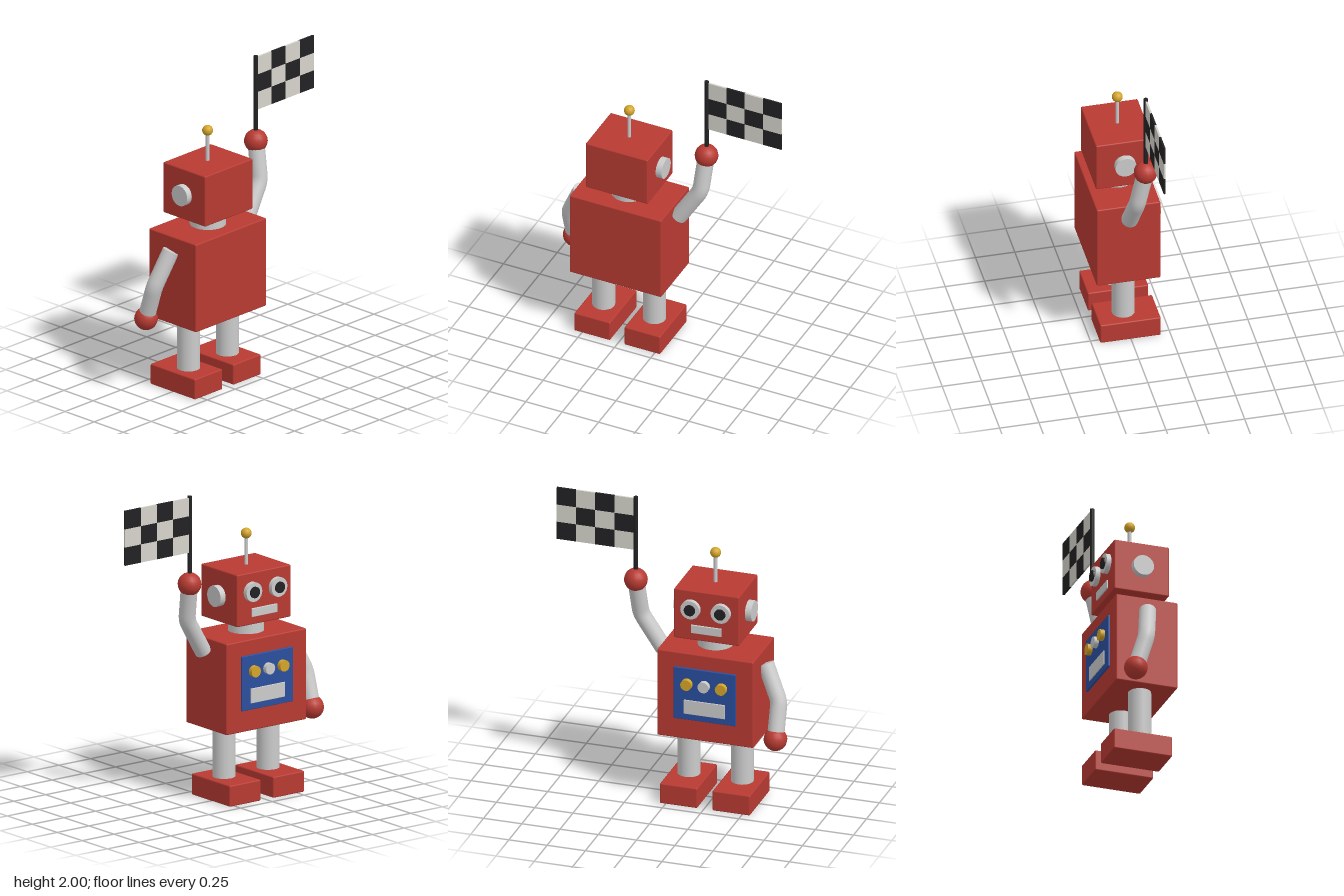
import * as THREE from 'three';
import { RoundedBoxGeometry } from 'three/addons/geometries/RoundedBoxGeometry.js';

const mat = (color) => new THREE.MeshStandardMaterial({ color });
const red = mat(0xb83a32), grey = mat(0xcccccc), gold = mat(0xd4a52a);
const blue = mat(0x2a4f9e), black = mat(0x222224), white = mat(0xd6d4cb);

const CX = -0.257; // centre line of the robot's body
const CZ = 0.02;

export function createModel() {
  const robot = new THREE.Group();
  robot.name = 'robot';

  const add = (name, geometry, material, x, y, z, parent = robot) => {
    const mesh = new THREE.Mesh(geometry, material);
    mesh.name = name;
    mesh.position.set(x, y, z);
    parent.add(mesh);
    return mesh;
  };
  const block = (name, w, h, d, material, x, y, z, bevel = 0.008) =>
    add(name, new RoundedBoxGeometry(w, h, d, 2, bevel), material, x, y, z);
  const rod = (name, r, h, material, x, y, z, axis = 'y') => {
    const g = new THREE.CylinderGeometry(r, r, h, 24);
    if (axis === 'x') g.rotateZ(Math.PI / 2);
    if (axis === 'z') g.rotateX(Math.PI / 2);
    return add(name, g, material, x, y, z);
  };
  const ball = (name, r, material, x, y, z) =>
    add(name, new THREE.SphereGeometry(r, 16, 12), material, x, y, z);

  // Body, neck and head
  block('torso', 0.63, 0.585, 0.405, red, CX, 0.753, CZ);
  rod('neck', 0.113, 0.08, grey, CX, 1.076, CZ + 0.003);
  block('head', 0.426, 0.335, 0.362, red, CX, 1.298, CZ + 0.003);

  // Antenna
  rod('antennaRod', 0.012, 0.2, grey, CX, 1.555, CZ);
  ball('antennaBall', 0.034, gold, CX, 1.665, CZ);

  // Paired parts
  for (const [side, s] of [['left', 1], ['right', -1]]) {
    rod(side + 'Ear', 0.067, 0.06, grey, CX + s * 0.224, 1.3, CZ + 0.002, 'x');
    rod(side + 'Eye', 0.062, 0.05, grey, CX + s * 0.099, 1.345, -0.163, 'z');
    rod(side + 'Pupil', 0.036, 0.05, black, CX + s * 0.099, 1.345, -0.174, 'z');
    rod(side + 'Leg', 0.072, 0.36, grey, CX + s * 0.174, 0.3, CZ + 0.003);
    block(side + 'Foot', 0.246, 0.135, 0.385, red, CX + s * 0.172, 0.0675, 0.003);
  }
  block('mouth', 0.2, 0.055, 0.03, grey, CX, 1.208, -0.152, 0.003);

  // Chest panel with three knobs and a plate
  block('chestPanel', 0.405, 0.35, 0.03, blue, CX, 0.773, -0.18, 0.004);
  for (const i of [-1, 0, 1]) {
    rod('chestKnob', 0.036, 0.05, i ? gold : grey, CX + i * 0.113, 0.845, -0.2, 'z');
  }
  block('chestPlate', 0.27, 0.095, 0.03, grey, CX, 0.687, -0.186, 0.003);

  // Arms: bent tubes with a short bend at the elbow and a closed shoulder end
  const arm = (side, shoulder, elbow, hand) => {
    const [a, b, c] = [shoulder, elbow, hand].map((p) => new THREE.Vector3(...p));
    const p = b.clone().lerp(a, 0.15), q = b.clone().lerp(c, 0.15);
    const path = new THREE.CurvePath();
    path.add(new THREE.LineCurve3(a, p));
    path.add(new THREE.QuadraticBezierCurve3(p, b, q));
    path.add(new THREE.LineCurve3(q, c));
    add(side + 'Arm', new THREE.TubeGeometry(path, 28, 0.053, 20), grey, 0, 0, 0);
    const cap = add(side + 'ArmEnd', new THREE.CircleGeometry(0.053, 20), grey, ...shoulder);
    cap.lookAt(a.clone().multiplyScalar(2).sub(b));
    ball(side + 'Hand', 0.074, red, ...hand);
  };
  arm('left', [0.083, 0.962, 0.02], [0.225, 1.19, 0.003], [0.242, 1.435, -0.045]);
  arm('right', [-0.585, 0.955, 0.02], [-0.687, 0.73, -0.025], [-0.687, 0.503, -0.095]);

  // Chequered flag on its pole
  rod('flagPole', 0.014, 0.6, black, 0.242, 1.7, -0.046);
  const flag = new THREE.Group();
  flag.name = 'flag';
  robot.add(flag);
  const cw = 0.126, ch = 0.117;
  for (let row = 0; row < 3; row++) {
    for (let col = 0; col < 4; col++) {
      add('flagSquare', new THREE.BoxGeometry(cw, ch, 0.012), (row + col) % 2 ? black : white,
        0.253 + (col + 0.5) * cw, 1.99 - (row + 0.5) * ch, -0.048, flag);
    }
  }
  return robot;
}
